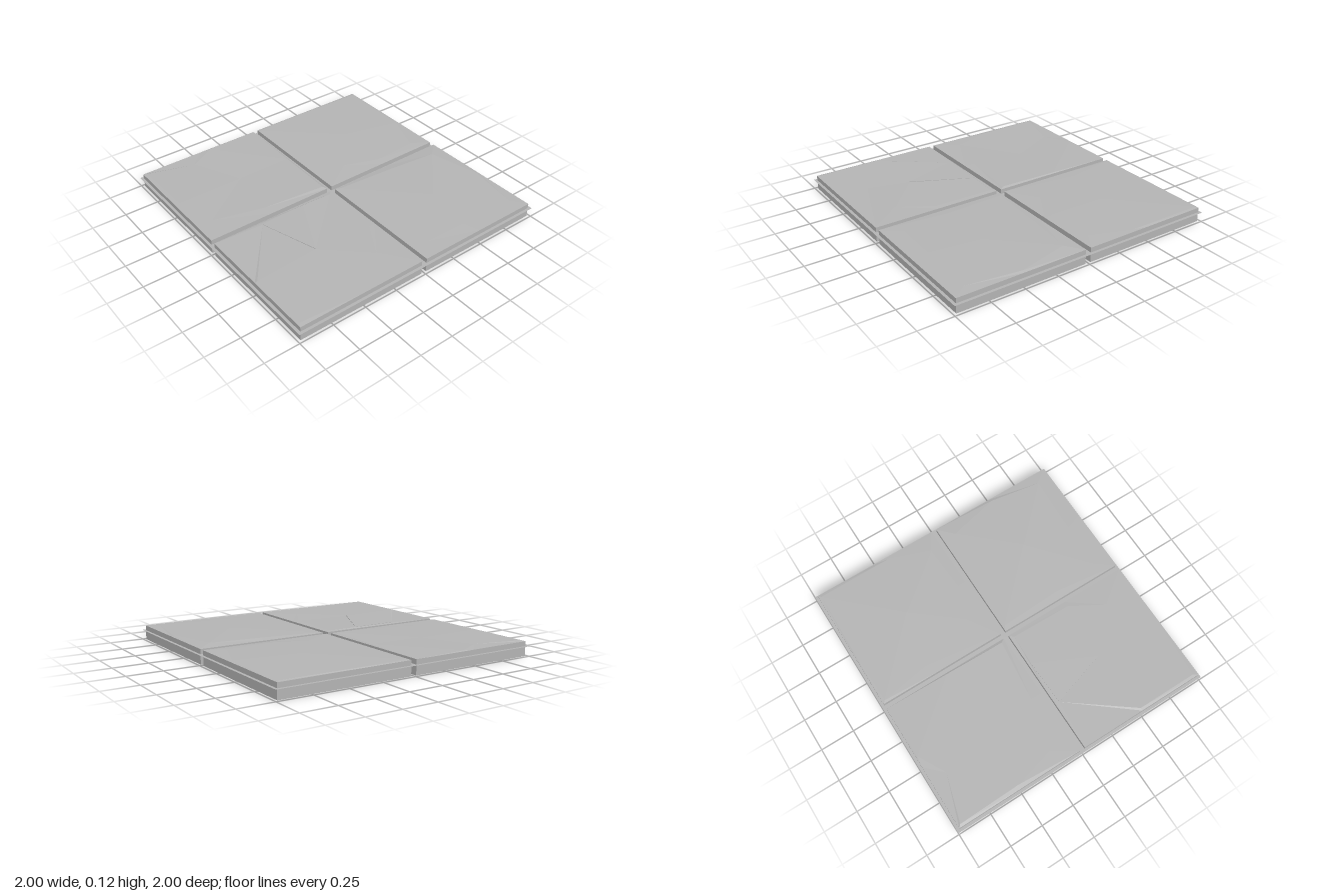
import * as THREE from 'three';

const RIM = 0.105;
const LO = 0.02, HI = 0.98, MID = 0.5;

// Each tile: centre and the quadrant's sign, plus an inner ring [x, y, z]
// running counter-clockwise from the back-left corner, and the middle point.
const TILES = [
  {
    name: 'backRightTile', x: -MID, z: -MID, middle: [-0.45, 0.108, -0.5],
    ring: [[-0.96, 0.111, -0.96], [-0.95, 0.111, -0.5], [-0.87, 0.108, -0.2], [-0.5, 0.108, -0.1],
      [-0.04, 0.112, -0.05], [-0.03, 0.11, -0.5], [-0.42, 0.109, -0.97], [-0.62, 0.107, -0.86]],
  },
  {
    name: 'backLeftTile', x: MID, z: -MID, middle: [0.52, 0.119, -0.5],
    ring: [[0.04, 0.108, -0.96], [0.1, 0.109, -0.6], [0.25, 0.112, -0.17], [0.5, 0.111, -0.08],
      [0.85, 0.11, -0.1], [0.96, 0.11, -0.4], [0.96, 0.108, -0.96], [0.45, 0.11, -0.97]],
  },
  {
    name: 'frontRightTile', x: -MID, z: MID, middle: [-0.49, 0.109, 0.47],
    ring: [[-0.62, 0.109, 0.05], [-0.96, 0.111, 0.5], [-0.96, 0.109, 0.95], [-0.57, 0.108, 0.77],
      [-0.2, 0.11, 0.74], [-0.06, 0.108, 0.5], [-0.05, 0.108, 0.05], [-0.28, 0.11, 0.04]],
  },
  {
    name: 'frontLeftTile', x: MID, z: MID, middle: [0.52, 0.118, 0.5],
    ring: [[0.06, 0.108, 0.04], [0.08, 0.109, 0.5], [0.12, 0.108, 0.85], [0.46, 0.109, 0.86],
      [0.9, 0.108, 0.88], [0.96, 0.111, 0.5], [0.87, 0.115, 0.12], [0.5, 0.114, 0.08]],
  },
];

// Flat-faced geometry from a list of triangles
function facets(triangles) {
  const geometry = new THREE.BufferGeometry();
  geometry.setAttribute('position', new THREE.Float32BufferAttribute(triangles.flat(2), 3));
  geometry.computeVertexNormals();
  return geometry;
}

// Square slab with straight walls and an uneven faceted top
function tileGeometry({ x, z, middle, ring }) {
  const h = (HI - LO) / 2;
  const outline = [[-1, -1], [-1, 0], [-1, 1], [0, 1], [1, 1], [1, 0], [1, -1], [0, -1]];
  const at = (y) => outline.map(([u, v]) => [x + u * h, y, z + v * h]);
  const rim = at(RIM), foot = at(0), base = [x, 0, z];
  const triangles = [];
  for (let i = 0; i < 8; i++) {
    const j = (i + 1) % 8;
    triangles.push([middle, ring[i], ring[j]]);
    triangles.push([ring[i], rim[i], rim[j]], [ring[i], rim[j], ring[j]]);
    triangles.push([rim[i], foot[i], foot[j]], [rim[i], foot[j], rim[j]]);
    triangles.push([base, foot[j], foot[i]]);
  }
  return facets(triangles);
}

export function createModel() {
  const stone = new THREE.MeshStandardMaterial({ color: 0xb4b4b4 });
  stone.name = 'stone grey';
  stone.flatShading = true;
  stone.side = THREE.DoubleSide;

  const model = new THREE.Group();
  model.name = 'floorTiles';
  const add = (name, geometry) => {
    const mesh = new THREE.Mesh(geometry, stone);
    mesh.name = name;
    model.add(mesh);
    return mesh;
  };

  // Four slabs
  TILES.forEach((tile) => add(tile.name, tileGeometry(tile)));

  // Small raised flake on the front right slab
  const top = [[-0.62, 0.111, 0.05], [-0.49, 0.113, 0.47], [-0.28, 0.112, 0.04]];
  const low = top.map(([x, , z]) => [x, 0.107, z]);
  const flake = [top];
  for (let i = 0; i < 3; i++) {
    const j = (i + 1) % 3;
    flake.push([top[i], low[i], low[j]], [top[i], low[j], top[j]]);
  }
  add('stoneFlake', facets(flake));

  // Thin grout sheet showing in the gaps and around the border
  const grout = add('groutSheet', new THREE.PlaneGeometry(2, 2));
  grout.rotation.x = -Math.PI / 2;
  grout.position.y = 0.07;

  return model;
}
